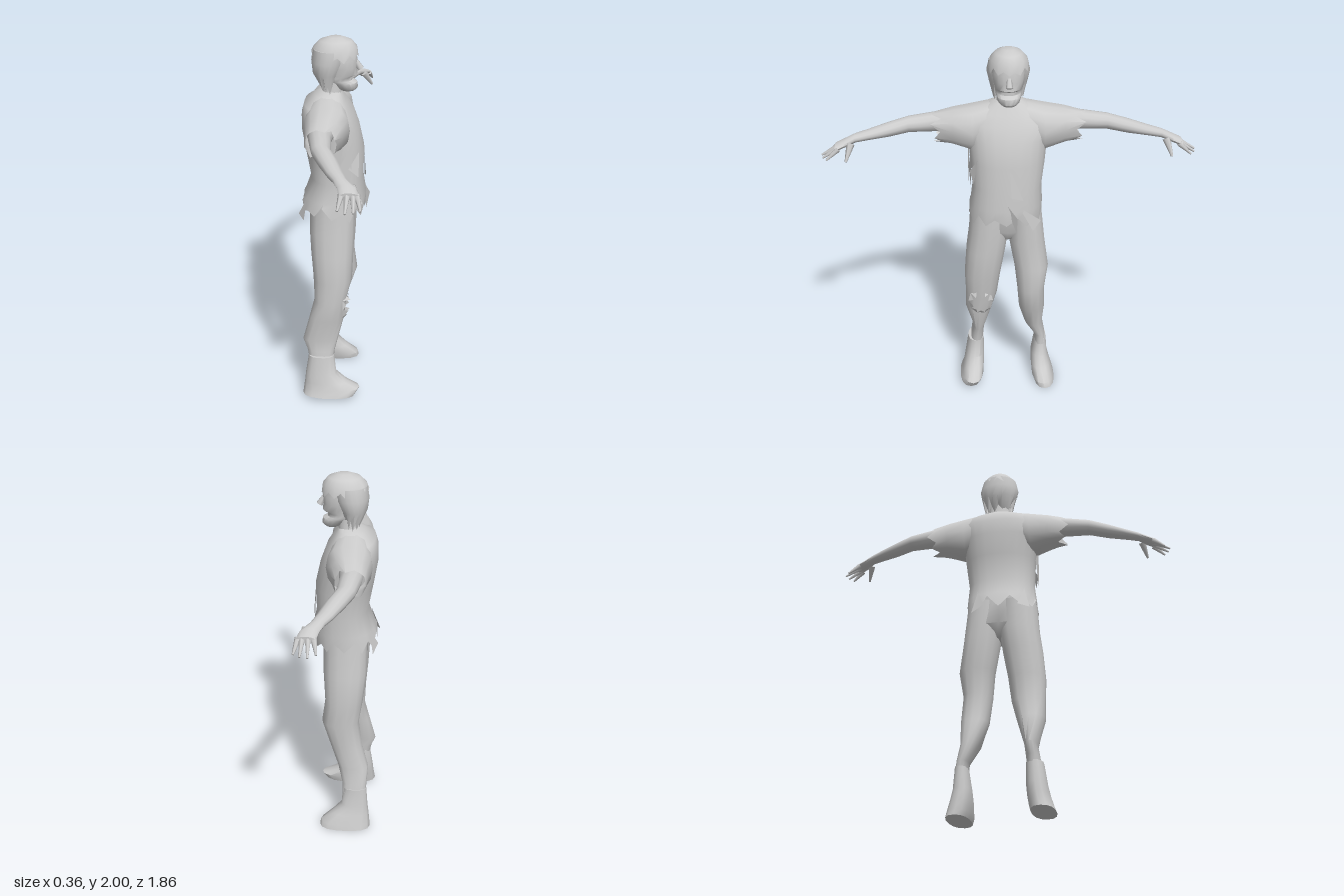
import * as THREE from 'three';
import { toCreasedNormals } from 'three/addons/utils/BufferGeometryUtils.js';

const clay = new THREE.MeshStandardMaterial({ color: 0xcccccc, side: THREE.DoubleSide });
clay.name = 'light grey';

// Small repeatable noise for torn edges
const noise = (n) => { const s = Math.sin(n * 12.9898) * 43758.5453; return (s - Math.floor(s)) * 2 - 1; };

function addMesh(parent, name, geometry) {
  const mesh = new THREE.Mesh(geometry, clay);
  mesh.name = name;
  parent.add(mesh);
  return mesh;
}

// Skin over rings [position, min1, max1, min2, max2] along an axis.
// axis y: (x, z) extents; axis z: (x, y) extents.
function loft(axis, rings, { sides = 14, jag = [0, 0], caps = [true, true], power = 0.85 } = {}) {
  const pos = [], idx = [], n = rings.length;
  const place = (p, a, b) => (axis === 'y' ? pos.push(a, p, b) : pos.push(a, b, p));
  const dir = axis === 'y' ? 1 : -1;
  const soft = (v) => Math.sign(v) * Math.pow(Math.abs(v), power);
  rings.forEach(([p, a0, a1, b0, b1], i) => {
    const torn = i === 0 ? jag[0] : i === n - 1 ? jag[1] : 0;
    for (let j = 0; j < sides; j++) {
      const t = (j / sides) * Math.PI * 2;
      const shift = torn * (j % 2 ? 0.6 : -0.4) + torn * 0.5 * noise(j + 3);
      place(p + shift, (a0 + a1) / 2 + soft(Math.cos(t)) * (a1 - a0) / 2,
        (b0 + b1) / 2 + dir * soft(Math.sin(t)) * (b1 - b0) / 2);
    }
  });
  const flip = rings[n - 1][0] < rings[0][0];
  const tri = (a, b, c) => (flip ? idx.push(a, c, b) : idx.push(a, b, c));
  for (let i = 0; i < n - 1; i++) for (let j = 0; j < sides; j++) {
    const a = i * sides + j, b = i * sides + (j + 1) % sides;
    tri(a, a + sides, b);
    tri(b, a + sides, b + sides);
  }
  [0, n - 1].forEach((i, end) => {
    if (!caps[end]) return;
    const [p, a0, a1, b0, b1] = rings[i], c = pos.length / 3;
    place(p, (a0 + a1) / 2, (b0 + b1) / 2);
    for (let j = 0; j < sides; j++) {
      const a = i * sides + j, b = i * sides + (j + 1) % sides;
      if (end) tri(a, c, b); else tri(a, b, c);
    }
  });
  const g = new THREE.BufferGeometry();
  g.setAttribute('position', new THREE.Float32BufferAttribute(pos, 3));
  g.setIndex(idx);
  return toCreasedNormals(g, 0.9);
}

// Tapered spike between two points
function spike(from, to, r0, r1 = 0.003, sides = 6) {
  const a = new THREE.Vector3(...from), d = new THREE.Vector3(...to).sub(a);
  const g = new THREE.CylinderGeometry(r1, r0, d.length(), sides);
  g.translate(0, d.length() / 2, 0);
  g.applyQuaternion(new THREE.Quaternion().setFromUnitVectors(new THREE.Vector3(0, 1, 0), d.normalize()));
  return g.translate(a.x, a.y, a.z);
}

// Loose triangles of cloth
function rags(triangles) {
  const g = new THREE.BufferGeometry();
  g.setAttribute('position', new THREE.Float32BufferAttribute(triangles.flat(2), 3));
  g.computeVertexNormals();
  return g;
}

function makeHead() {
  const head = new THREE.Group();
  head.name = 'head';
  addMesh(head, 'neck', loft('y', [
    [1.64, -0.09, 0.05, -0.08, 0.08], [1.71, -0.065, 0.035, -0.06, 0.06], [1.82, -0.06, 0.04, -0.06, 0.06]]));
  addMesh(head, 'face', loft('y', [
    [1.73, 0.03, 0.1, -0.035, 0.035], [1.745, 0.0, 0.115, -0.052, 0.052], [1.772, -0.03, 0.112, -0.062, 0.062],
    [1.785, -0.05, 0.088, -0.066, 0.066], [1.802, -0.05, 0.088, -0.068, 0.068], [1.815, -0.06, 0.112, -0.07, 0.07],
    [1.85, -0.07, 0.108, -0.077, 0.077], [1.89, -0.08, 0.112, -0.082, 0.082], [1.95, -0.07, 0.095, -0.07, 0.07]],
  { sides: 18, power: 1 }));
  addMesh(head, 'nose', spike([0.1, 1.885, 0], [0.127, 1.838, 0], 0.01, 0.018));
  addMesh(head, 'hairTop', loft('y', [
    [1.905, -0.115, 0.117, -0.1, 0.1], [1.95, -0.105, 0.11, -0.092, 0.092],
    [1.98, -0.075, 0.085, -0.066, 0.066], [1.997, -0.03, 0.04, -0.03, 0.03]],
  { sides: 22, jag: [0.025, 0], caps: [false, true], power: 1 }));
  addMesh(head, 'hairBack', loft('y', [
    [1.745, -0.07, 0.0, -0.075, 0.075], [1.82, -0.11, 0.03, -0.096, 0.096],
    [1.88, -0.117, 0.06, -0.108, 0.108], [1.94, -0.108, 0.075, -0.095, 0.095]],
  { sides: 22, jag: [0.035, 0], caps: [false, true], power: 1 }));
  return head;
}

function makeArm(name, s) {
  const arm = new THREE.Group();
  arm.name = name;
  const along = (rows) => rows.map(([z, ...r]) => [z * s, ...r]);
  addMesh(arm, 'sleeve', loft('z', along([
    [0.08, -0.13, 0.06, 1.52, 1.715], [0.18, -0.145, 0.085, 1.46, 1.695],
    [0.28, -0.13, 0.055, 1.49, 1.675], [0.355, -0.12, 0.03, 1.5, 1.65]]),
  { jag: [0, 0.035 * s], caps: [true, false] }));
  addMesh(arm, 'forearm', loft('z', along([
    [0.2, -0.11, 0.02, 1.53, 1.66], [0.36, -0.105, 0.005, 1.55, 1.65], [0.5, -0.08, 0.015, 1.555, 1.635],
    [0.6, -0.04, 0.055, 1.55, 1.62], [0.7, 0.005, 0.085, 1.55, 1.6], [0.76, 0.038, 0.105, 1.55, 1.592],
    [0.81, 0.06, 0.145, 1.54, 1.578], [0.855, 0.07, 0.16, 1.527, 1.56]]), { power: 1, sides: 12 }));
  // Four fingers and a thumb
  [[0.08, 0.065, 0.9], [0.105, 0.1, 0.928], [0.13, 0.135, 0.92], [0.148, 0.165, 0.9]].forEach(([x0, x1, z]) =>
    addMesh(arm, 'finger', spike([x0, 1.545, 0.84 * s], [x1, 1.495, z * s], 0.015, 0.005)));
  addMesh(arm, 'thumb', spike([0.12, 1.56, 0.78 * s], [0.168, 1.485, 0.805 * s], 0.02, 0.006));
  return arm;
}

function makeShirt() {
  const shirt = new THREE.Group();
  shirt.name = 'shirt';
  addMesh(shirt, 'shirtBody', loft('y', [
    [1.11, -0.168, 0.16, -0.175, 0.208], [1.18, -0.155, 0.165, -0.175, 0.2], [1.28, -0.12, 0.148, -0.17, 0.187],
    [1.42, -0.145, 0.152, -0.187, 0.195], [1.54, -0.165, 0.125, -0.2, 0.208], [1.62, -0.165, 0.095, -0.22, 0.225],
    [1.67, -0.152, 0.065, -0.17, 0.18], [1.71, -0.1, 0.042, -0.095, 0.095], [1.73, -0.065, 0.03, -0.06, 0.06]],
  { sides: 24, jag: [0.045, 0], caps: [false, true] }));
  // Torn front edge, side rags and hem points
  addMesh(shirt, 'tornCloth', rags([
    [[0.15, 1.42, 0], [0.162, 1.26, -0.01], [0.152, 1.24, -0.07]],
    [[0.15, 1.24, 0.03], [0.183, 1.15, -0.04], [0.165, 1.06, -0.035]],
    [[0.15, 1.2, -0.05], [0.165, 1.07, -0.12], [0.16, 1.13, -0.16]],
    [[0.06, 1.55, 0.205], [-0.03, 1.42, 0.2], [0.02, 1.265, 0.21]],
    [[0.1, 1.52, 0.19], [0.03, 1.38, 0.205], [0.09, 1.3, 0.195]],
    [[0.13, 1.46, 0.16], [0.08, 1.38, 0.2], [0.13, 1.33, 0.18]],
    [[-0.13, 1.2, 0.15], [-0.18, 1.09, 0.12], [-0.15, 1.08, 0.18]],
    [[-0.13, 1.2, -0.1], [-0.175, 1.1, -0.06], [-0.15, 1.07, -0.13]]]));
  return shirt;
}

export function createModel() {
  const model = new THREE.Group();
  model.name = 'raggedFigure';
  model.add(makeHead(), makeShirt(), makeArm('rightArm', 1), makeArm('leftArm', -1));

  // Trousers
  const trousers = new THREE.Group();
  trousers.name = 'trousers';
  model.add(trousers);
  addMesh(trousers, 'hips', loft('y', [
    [0.96, -0.06, 0.06, -0.04, 0.06], [1.02, -0.12, 0.1, -0.17, 0.19], [1.2, -0.11, 0.11, -0.155, 0.175]]));
  addMesh(trousers, 'rightLeg', loft('y', [
    [0.24, -0.13, 0.005, 0.145, 0.215], [0.29, -0.14, 0.01, 0.142, 0.21], [0.35, -0.163, 0.025, 0.135, 0.2],
    [0.5, -0.125, 0.06, 0.09, 0.238], [0.6, -0.1, 0.07, 0.063, 0.236], [0.73, -0.105, 0.1, 0.045, 0.24],
    [0.88, -0.118, 0.105, 0.018, 0.228], [1.0, -0.125, 0.11, 0.0, 0.212], [1.16, -0.12, 0.11, 0.0, 0.2]]));
  addMesh(trousers, 'leftLeg', loft('y', [
    [0.22, -0.125, 0.005, -0.215, -0.15], [0.28, -0.128, 0.005, -0.208, -0.148], [0.37, -0.135, 0.03, -0.192, -0.092],
    [0.5, -0.1, 0.07, -0.2, -0.057], [0.65, -0.08, 0.118, -0.195, -0.045], [0.78, -0.1, 0.1, -0.215, -0.03],
    [0.95, -0.12, 0.11, -0.192, 0.0], [1.16, -0.12, 0.11, -0.17, 0.0]]));

  // Ragged rim around the torn knee
  const rim = (a, r, x) => [x, 0.57 + Math.sin(a) * r * 1.25, 0.155 + Math.cos(a) * r];
  const tears = [];
  for (let i = 0; i < 10; i++) {
    const a = (i / 10) * Math.PI * 2;
    tears.push([rim(a, 0.068, 0.055), rim(a + 0.63, 0.068, 0.055), rim(a + 0.3, 0.042, 0.085 + 0.012 * noise(i))]);
  }
  addMesh(trousers, 'tornKnee', rags(tears));

  // Boots
  addMesh(model, 'rightBoot', loft('y', [
    [0.025, -0.163, 0.125, 0.155, 0.28], [0.065, -0.158, 0.15, 0.145, 0.265], [0.1, -0.153, 0.08, 0.142, 0.255],
    [0.15, -0.148, 0.02, 0.14, 0.245], [0.26, -0.132, 0.008, 0.14, 0.228]]));
  addMesh(model, 'leftBoot', loft('y', [
    [0, -0.15, 0.13, -0.265, -0.145], [0.03, -0.148, 0.125, -0.258, -0.135], [0.085, -0.142, 0.06, -0.24, -0.13],
    [0.14, -0.135, 0.01, -0.225, -0.132], [0.25, -0.128, 0.0, -0.216, -0.15]]));
  return model;
}
